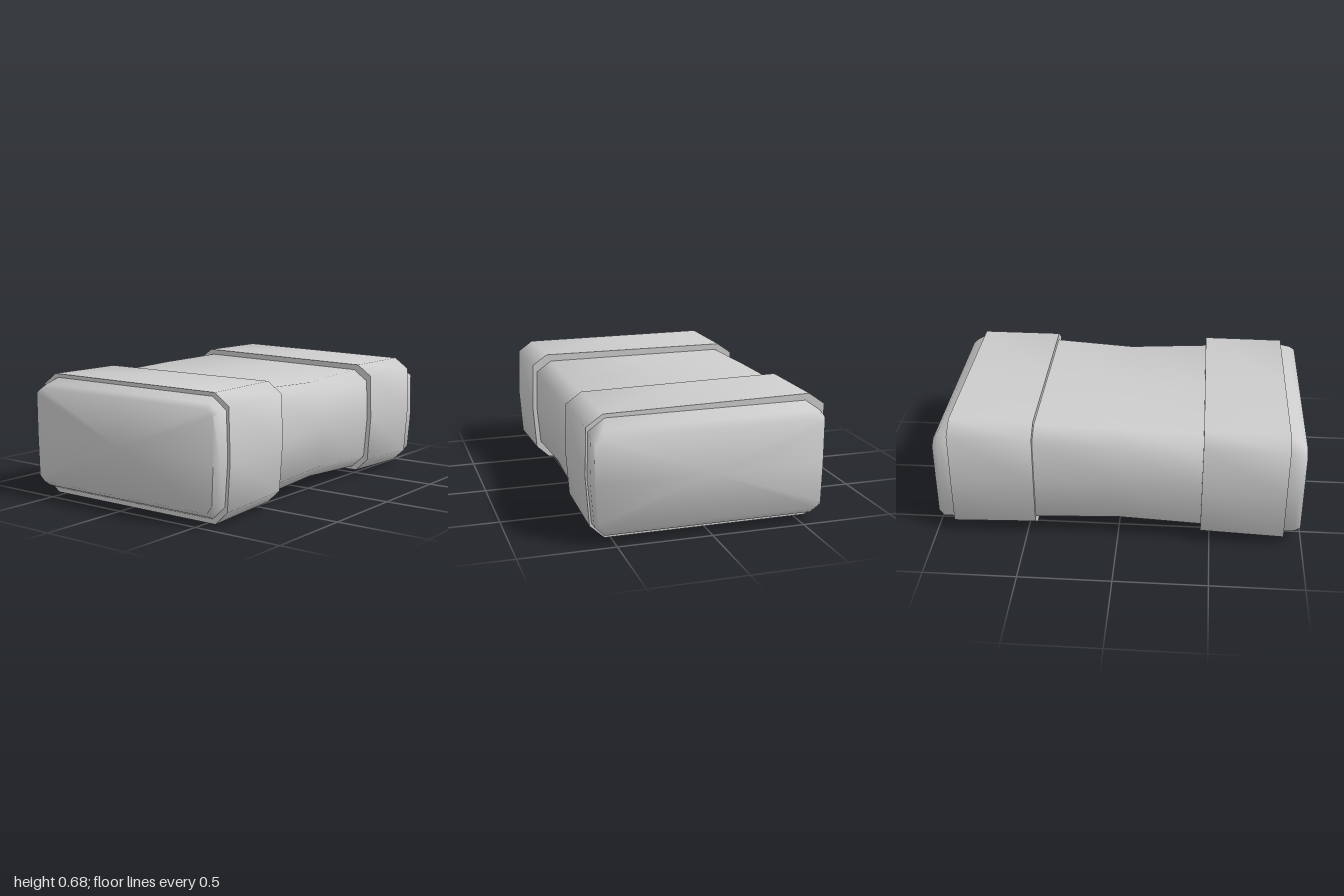
import * as THREE from 'three';
import { toCreasedNormals } from 'three/addons/utils/BufferGeometryUtils.js';

// Cross-section of a chamfered block at depth z, counter-clockwise from the front.
// yl and yr are the top heights at the left (-x) and right (+x) of the section.
function section(z, xl, xr, y0, yl, yr, cx = 0.085, cy = 0.06, bulge = 0.008) {
  const mid = (y0 + yl) / 2;
  return [
    [xl + cx, y0], [0, y0], [xr - cx, y0],
    [xr - 0.01, y0 + cy + 0.01], [xr + bulge, mid], [xr, yr - cy],
    [xr - cx, yr], [0, (yl + yr) / 2], [xl + cx, yl],
    [xl, yl - cy], [xl, mid], [xl + 0.005, y0 + cy],
  ].map(([x, y]) => [x, y, z]);
}

// Skin through sections ordered by rising z; optional tips close the ends.
function loft(sections, backTip, frontTip) {
  const n = sections[0].length, pos = sections.flat(2), index = [];
  const last = (sections.length - 1) * n;
  for (let i = 0; i < sections.length - 1; i++) {
    for (let j = 0; j < n; j++) {
      const k = (j + 1) % n, a = i * n, d = a + n;
      index.push(a + j, a + k, d + k, a + j, d + k, d + j);
    }
  }
  const addTip = (tip, base, flip) => {
    const c = pos.length / 3;
    pos.push(...tip);
    for (let j = 0; j < n; j++) {
      const k = (j + 1) % n;
      index.push(c, base + (flip ? k : j), base + (flip ? j : k));
    }
  };
  if (backTip) addTip(backTip, 0, true);
  if (frontTip) addTip(frontTip, last, false);
  const geo = new THREE.BufferGeometry();
  geo.setAttribute('position', new THREE.Float32BufferAttribute(pos, 3));
  geo.setIndex(index);
  return toCreasedNormals(geo, 1.1);
}

export function createModel() {
  const group = new THREE.Group();
  const material = new THREE.MeshStandardMaterial({ color: 0xcccccc, side: THREE.DoubleSide });
  const add = (name, geo) => {
    const mesh = new THREE.Mesh(geo, material);
    mesh.name = name;
    group.add(mesh);
  };

  // Slightly waisted central body
  const bodyBack = section(-0.45, -0.615, 0.6, 0.05, 0.645, 0.625);
  const bodyFront = section(0.45, -0.62, 0.6, 0.05, 0.625, 0.62);
  add('body', loft([
    bodyBack,
    section(0, -0.615, 0.59, 0.07, 0.64, 0.6),
    bodyFront,
  ]));

  // Raised bands, with steps down to the body and to the end caps
  const capBack = section(-0.9, -0.615, 0.615, 0.03, 0.64, 0.635);
  const capFront = section(0.9, -0.62, 0.615, 0.025, 0.64, 0.635);
  add('backBand', loft([
    capBack,
    section(-0.9, -0.635, 0.625, 0.015, 0.675, 0.655),
    section(-0.45, -0.635, 0.625, 0.03, 0.675, 0.655),
    bodyBack,
  ]));
  add('frontBand', loft([
    bodyFront,
    section(0.45, -0.64, 0.625, 0.02, 0.66, 0.66),
    section(0.9, -0.64, 0.63, 0, 0.66, 0.655),
    capFront,
  ]));

  // End caps with softly rounded rims
  add('backCap', loft([
    section(-0.99, -0.6, 0.605, 0.085, 0.56, 0.56, 0.04, 0.03, 0),
    section(-0.96, -0.615, 0.615, 0.05, 0.6, 0.59, 0.06, 0.04),
    capBack,
  ], [0, 0.33, -1]));
  add('frontCap', loft([
    capFront,
    section(0.96, -0.62, 0.615, 0.05, 0.61, 0.61, 0.06, 0.04),
    section(0.99, -0.61, 0.605, 0.075, 0.59, 0.585, 0.04, 0.03, 0),
  ], null, [0, 0.33, 1]));

  return group;
}
